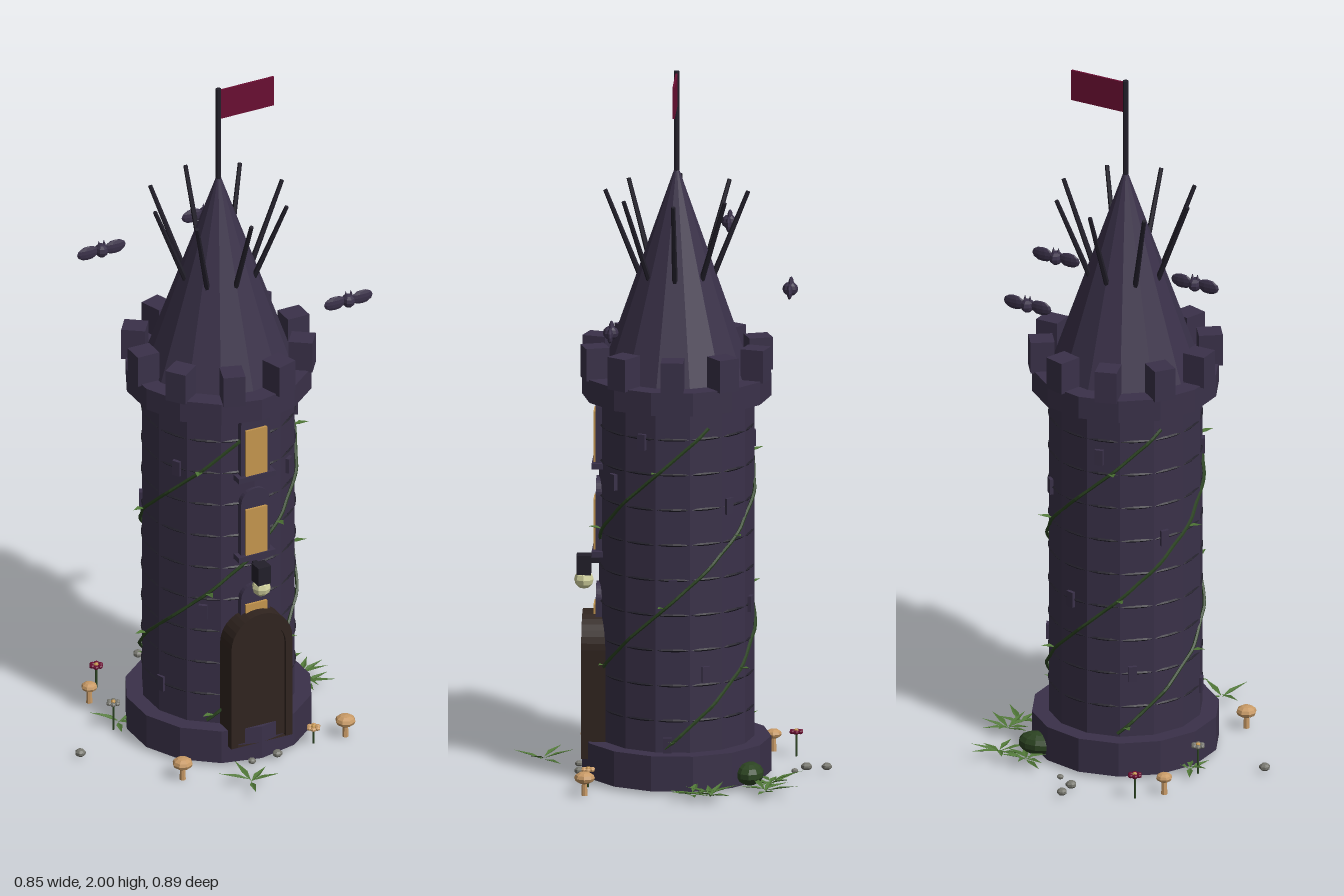
import * as THREE from 'three';

const mat = (name, color) => {
  const m = new THREE.MeshStandardMaterial({ color, flatShading: true, side: THREE.DoubleSide });
  m.name = name;
  return m;
};

export function createModel() {
  const stone = mat('stone', 0x3a3149), dark = mat('darkIron', 0x221f2a), gold = mat('windowGold', 0xc4964e),
    wood = mat('doorWood', 0x30241f), glow = mat('lampGlow', 0xd4d4a0), red = mat('flagRed', 0x6a0e32),
    vine = mat('darkLeaf', 0x2c4422), green = mat('grassGreen', 0x4f7636), tan = mat('mushroomTan', 0xc89a66),
    grey = mat('pebbleGrey', 0x77776f);
  const root = new THREE.Group();
  const tower = new THREE.Group();
  tower.name = 'tower';
  tower.position.set(0.027, 0, -0.012);
  root.add(tower);

  const add = (parent, name, geo, m, x = 0, y = 0, z = 0) => {
    const mesh = new THREE.Mesh(geo, m);
    mesh.name = name;
    mesh.position.set(x, y, z);
    parent.add(mesh);
    return mesh;
  };
  const group = (parent, name, x, y, z) => {
    const g = new THREE.Group();
    g.name = name;
    g.position.set(x, y, z);
    parent.add(g);
    return g;
  };
  const cyl = (rt, rb, h, n = 14) => new THREE.CylinderGeometry(rt, rb, h, n);
  const ball = (r, w = 8, h = 6) => new THREE.SphereGeometry(r, w, h);
  const box = (x, y, z) => new THREE.BoxGeometry(x, y, z);
  let seed = 7;
  const rnd = () => (seed = (seed * 16807) % 2147483647) / 2147483647;

  // Tower shell
  add(tower, 'base', cyl(0.262, 0.262, 0.1), stone, 0, 0.06);
  add(tower, 'body', cyl(0.215, 0.215, 1), stone, 0, 0.6);
  add(tower, 'parapet', cyl(0.262, 0.262, 0.065), stone, 0, 1.112);
  add(tower, 'roof', new THREE.ConeGeometry(0.21, 0.6, 14), stone, 0, 1.44);
  for (let i = 0; i < 9; i++) {
    const course = add(tower, 'stoneCourse', new THREE.TorusGeometry(0.211, 0.004, 4, 40), dark, 0, 0.2 + i * 0.1);
    course.rotation.x = Math.PI / 2;
  }
  for (let i = 0; i < 10; i++) {
    const a = i * Math.PI / 5;
    add(tower, 'merlon', box(0.067, 0.092, 0.062), stone, Math.cos(a) * 0.234, 1.186, Math.sin(a) * 0.234).rotation.y = -a;
  }

  // Roof spikes leaning outwards
  for (let i = 0; i < 8; i++) {
    const a = i * Math.PI / 4;
    const at = (r, y) => new THREE.Vector3(Math.cos(a) * r, y, Math.sin(a) * r);
    const lo = at(0.1, 1.415), hi = at(0.198, 1.66);
    const spike = add(tower, 'roofSpike', cyl(0.006, 0.008, lo.distanceTo(hi), 6), dark);
    spike.position.copy(lo).lerp(hi, 0.5);
    spike.quaternion.setFromUnitVectors(new THREE.Vector3(0, 1, 0), hi.sub(lo).normalize());
  }
  add(tower, 'flagPole', cyl(0.008, 0.008, 0.3, 8), dark, 0, 1.85);
  add(tower, 'flag', box(0.166, 0.09, 0.006), red, 0.089, 1.95);

  // Raised bricks: angle from the front in degrees, height
  for (const [d, y] of [[38, 0.86], [-39, 0.46], [-75, 0.2], [66, 0.99], [115, 0.33], [86, 0.13], [90, 0.58],
    [135, 0.8], [190, 0.95], [215, 0.3], [240, 0.7], [165, 0.5], [-60, 0.9]]) {
    const a = d * Math.PI / 180;
    add(tower, 'raisedBrick', box(0.024, 0.045, 0.02), stone, Math.sin(a) * 0.21, y, Math.cos(a) * 0.21).rotation.y = a;
  }

  // Arched outline, flat bottom at y = 0
  const arch = (w, h, S = THREE.Shape) => {
    const s = new S(), r = w / 2;
    s.moveTo(-r, 0);
    s.lineTo(r, 0);
    s.lineTo(r, h - r);
    s.absarc(0, h - r, r, 0, Math.PI, false);
    s.closePath();
    return s;
  };
  const extrude = (s, depth) => new THREE.ExtrudeGeometry(s, { depth, bevelEnabled: false, curveSegments: 8 });

  // Front windows
  for (const y of [0.34, 0.64, 0.89]) {
    const w = group(tower, 'window', 0, y, 0);
    add(w, 'windowFrame', extrude(arch(0.09, 0.205), 0.04), stone, 0, 0, 0.182);
    add(w, 'windowPane', box(0.066, 0.145, 0.008), gold, 0, 0.073, 0.225);
    add(w, 'windowSill', box(0.115, 0.016, 0.05), stone, 0, -0.006, 0.208);
  }

  // Door with a raised surround
  const surround = arch(0.19, 0.405);
  surround.holes.push(arch(0.15, 0.37, THREE.Path));
  surround.holes[0].curves.forEach(() => {});
  add(tower, 'doorPanel', extrude(arch(0.17, 0.39), 0.06), wood, 0, 0.065, 0.191);
  add(tower, 'doorSurround', extrude(surround, 0.075), wood, 0, 0.06, 0.185);

  // Lantern over the door
  add(tower, 'lanternBracket', box(0.014, 0.014, 0.07), dark, 0, 0.605, 0.225);
  add(tower, 'lanternCap', box(0.04, 0.055, 0.04), dark, 0, 0.593, 0.257);
  add(tower, 'lanternGlobe', ball(0.027), glow, 0, 0.55, 0.257);

  // Pointed leaf lying along +x, slightly folded upwards
  const leafGeo = (l, w) => {
    const g = new THREE.BufferGeometry();
    g.setAttribute('position', new THREE.Float32BufferAttribute(
      [0, 0, 0, l * 0.4, 0.004, w / 2, l, 0, 0, l * 0.4, 0.004, -w / 2], 3));
    g.setIndex([0, 1, 2, 0, 2, 3]);
    g.computeVertexNormals();
    return g;
  };

  // Three vines winding up the body
  for (let k = 0; k < 3; k++) {
    const pts = [];
    const at = (t, r) => {
      const a = (-36 + 120 * k + 273 * t) * Math.PI / 180;
      return new THREE.Vector3(Math.sin(a) * r, 0.12 + 0.91 * t, Math.cos(a) * r);
    };
    for (let i = 0; i <= 30; i++) pts.push(at(i / 30, 0.216 + 0.003 * Math.sin(i * 2)));
    add(tower, 'vine', new THREE.TubeGeometry(new THREE.CatmullRomCurve3(pts), 70, 0.005, 5), vine);
    for (let i = 0; i < 5; i++) {
      const p = at(0.02 + i * 0.21, 0.215);
      const leaf = add(tower, 'vineLeaf', leafGeo(0.045, 0.022), green, p.x, p.y, p.z);
      leaf.rotation.set(0, Math.atan2(-p.z, p.x) + (rnd() - 0.5) * 1.6, 0.2);
    }
  }

  // Bats gliding around the roof
  for (const [x, y, z] of [[-0.27, 1.5, -0.143], [0.345, 1.33, 0.155], [0.155, 1.415, -0.333]]) {
    const bat = group(root, 'bat', x, y, z);
    add(bat, 'batBody', ball(0.02), stone).scale.set(0.9, 1, 1.1);
    for (const s of [-1, 1]) {
      add(bat, 'batWing', ball(1, 10, 6), stone, s * 0.042, 0.002).scale.set(0.034, 0.021, 0.008);
      add(bat, 'batEar', new THREE.ConeGeometry(0.006, 0.018, 4), stone, s * 0.008, 0.023);
    }
  }

  // Mushrooms
  for (const [x, z, r] of [[-0.215, 0.238, 0.029], [0.297, 0.23, 0.029], [-0.243, -0.267, 0.023]]) {
    const m = group(root, 'mushroom', x, 0, z);
    add(m, 'mushroomStem', cyl(0.007, 0.009, 0.045, 7), tan, 0, 0.0225);
    add(m, 'mushroomCap', ball(r), tan, 0, 0.05).scale.y = 0.6;
  }

  // Flowers
  for (const [x, z, y, m] of [[0.2, 0.225, 0.05, tan], [-0.255, -0.1, 0.085, grey], [-0.187, -0.333, 0.07, red]]) {
    const f = group(root, 'flower', x, 0, z);
    add(f, 'flowerStem', cyl(0.003, 0.003, y, 5), vine, 0, y / 2);
    add(f, 'flowerCentre', ball(0.007), gold, 0, y + 0.002);
    for (let i = 0; i < 6; i++) {
      const a = i * Math.PI / 3;
      add(f, 'petal', ball(0.0085, 6, 5), m, Math.cos(a) * 0.013, y, Math.sin(a) * 0.013).scale.y = 0.7;
    }
  }

  // Pebbles
  for (const [x, z, r] of [[-0.008, -0.426, 0.015], [-0.005, -0.37, 0.016], [0.047, -0.34, 0.01],
    [-0.41, 0, 0.016], [-0.01, 0.26, 0.012], [0.072, 0.255, 0.015]]) {
    add(root, 'pebble', ball(r, 7, 5), grey, x, 0.016, z).scale.y = 0.7;
  }

  // Bush and grass tufts
  add(root, 'bush', ball(1, 10, 7), vine, 0.19, 0.042, -0.222).scale.set(0.055, 0.032, 0.04);
  for (const [x, z, n, l] of [[-0.065, 0.36, 5, 0.08], [0.34, -0.12, 8, 0.085], [0.33, -0.07, 5, 0.075],
    [0.28, -0.27, 7, 0.085], [0.19, -0.28, 9, 0.08], [-0.235, -0.11, 5, 0.07]]) {
    const tuft = group(root, 'grassTuft', x, 0.012, z);
    for (let i = 0; i < n; i++) {
      const blade = add(tuft, 'grassBlade', leafGeo(l * (0.75 + rnd() * 0.5), 0.018), green, 0, 0.004 * (i % 3), 0);
      blade.rotation.set(0, (i + rnd() * 0.7) * 2 * Math.PI / n, 0.05 + rnd() * 0.25);
    }
  }
  return root;
}
